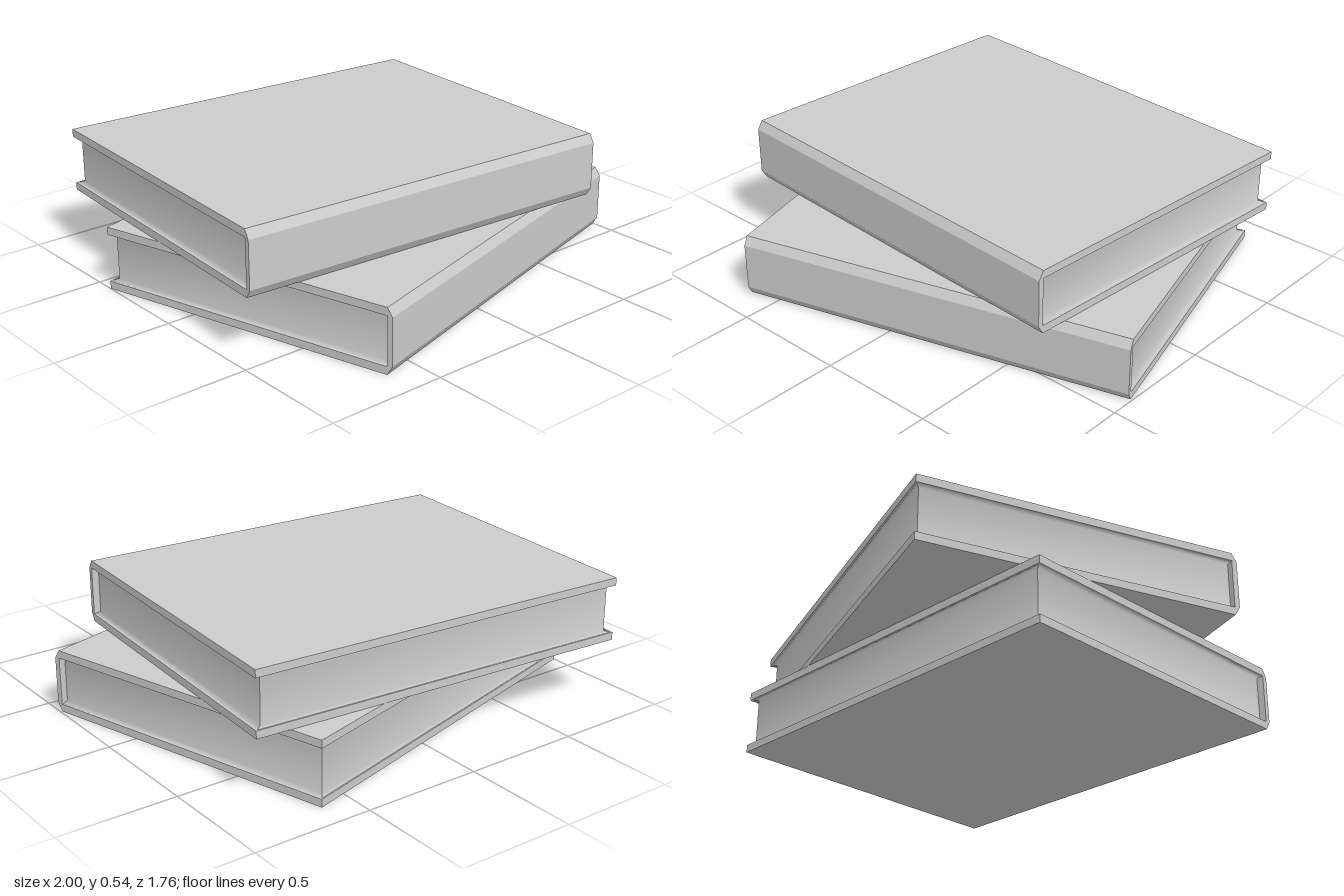
import * as THREE from 'three';

const W = 1.69, D = 1.35, H = 0.27;      // closed book: width along the spine, depth, height
const COVER = 0.033, SPINE = 0.022;      // board thickness, spine depth
const SIDE_INSET = 0.03, BACK_INSET = 0.022;
const hinge = D / 2 - SPINE;
const grey = new THREE.MeshStandardMaterial({ color: 0xcccccc });

function part(name, geometry, parent) {
  const mesh = new THREE.Mesh(geometry, grey);
  mesh.name = name;
  parent.add(mesh);
  return mesh;
}

// Plan outline of the open edges: right, back, left
const outline = (sx, sz) => [
  [W / 2 - sx, hinge], [W / 2 - sx, -D / 2 + sz],
  [-W / 2 + sx, -D / 2 + sz], [-W / 2 + sx, hinge],
];

// One smooth strip of page edges, flaring out to meet the boards
function pageStrip(side) {
  const outer = outline(0, 0), inner = outline(SIDE_INSET, BACK_INSET);
  const rows = [
    [outer, COVER - 0.002], [inner, COVER + 0.006],
    [inner, H - COVER - 0.002], [outer, H - COVER + 0.001],
  ];
  const pos = [], index = [];
  rows.forEach(([ring, y], r) => {
    for (const [x, z] of [ring[side], ring[side + 1]]) pos.push(x, y, z);
    if (r < rows.length - 1) {
      const a = r * 2;
      index.push(a, a + 1, a + 3, a, a + 3, a + 2);
    }
  });
  const g = new THREE.BufferGeometry();
  g.setAttribute('position', new THREE.Float32BufferAttribute(pos, 3));
  g.setIndex(index);
  g.computeVertexNormals();
  return g;
}

function createBook(name) {
  const book = new THREE.Group();
  book.name = name;

  // Boards
  const board = new THREE.BoxGeometry(W, COVER, D - SPINE);
  part('lowerCover', board, book).position.set(0, COVER / 2, -SPINE / 2);
  part('upperCover', board, book).position.set(0, H - COVER / 2, -SPINE / 2);

  // Chamfered spine, drawn as (z, y) and extruded along x
  const profile = new THREE.Shape([
    [hinge, 0], [D / 2, 0.036], [D / 2, H - 0.036], [hinge, H],
  ].map(([z, y]) => new THREE.Vector2(z, y)));
  const spine = new THREE.ExtrudeGeometry(profile, { depth: W, bevelEnabled: false });
  spine.translate(0, 0, -W / 2).rotateY(-Math.PI / 2);
  part('spine', spine, book);

  // Page block
  ['pagesRight', 'pagesBack', 'pagesLeft'].forEach((n, i) => part(n, pageStrip(i), book));
  return book;
}

export function createModel() {
  const model = new THREE.Group();
  model.name = 'bookStack';

  const lower = createBook('lowerBook');
  lower.rotation.y = 0.279;

  const upper = createBook('upperBook');
  upper.position.set(-0.079, H, -0.121);
  upper.rotation.y = -0.067;

  model.add(lower, upper);
  return model;
}
